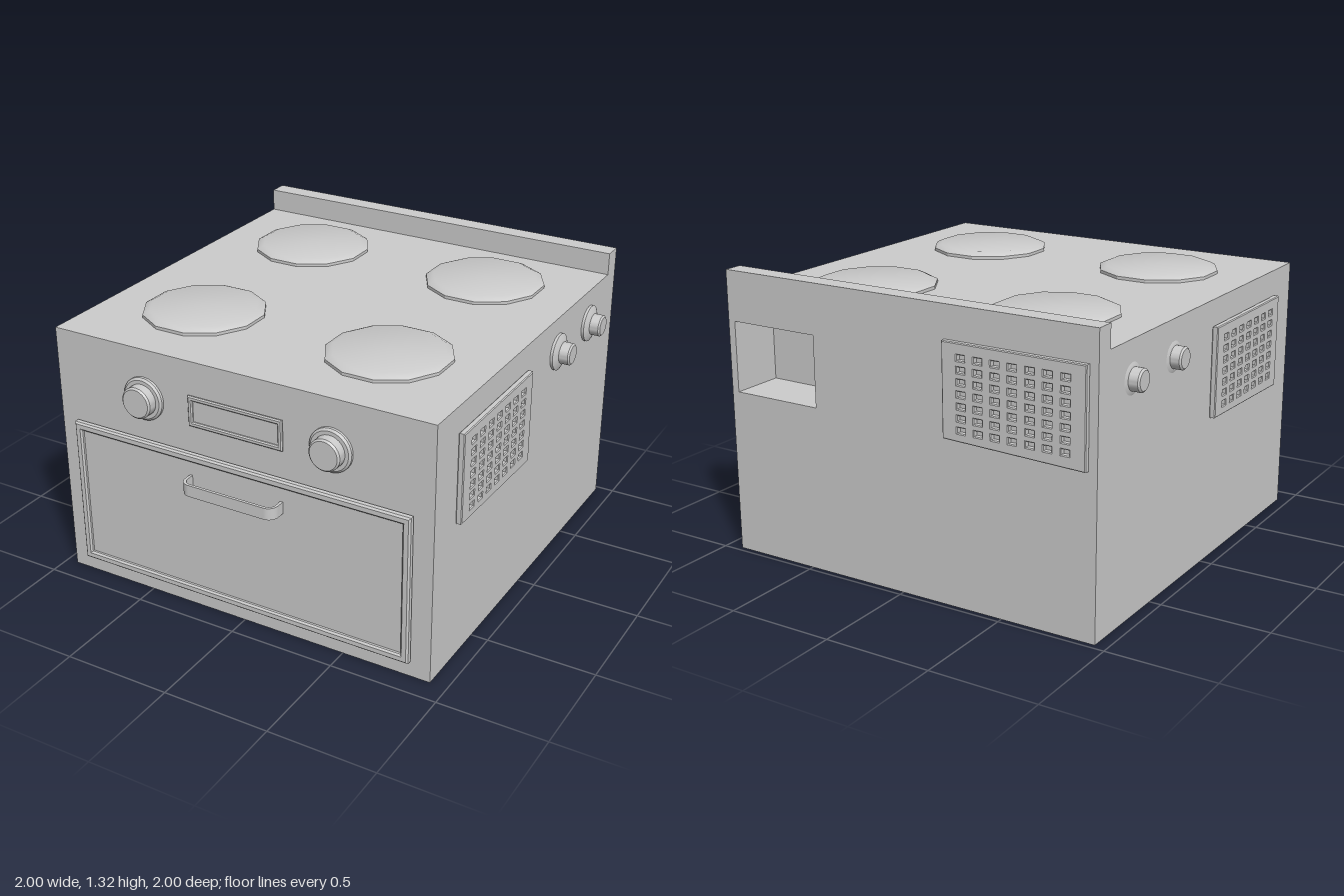
import * as THREE from 'three';
import { toCreasedNormals } from 'three/addons/utils/BufferGeometryUtils.js';

const X0 = -0.945, X1 = 0.92, Z0 = -0.975, Z1 = 0.895, TOP = 1.21;
const CX = (X0 + X1) / 2, W = X1 - X0;
const material = new THREE.MeshStandardMaterial({ color: 0xcccccc });

function add(parent, name, geometry, x = 0, y = 0, z = 0) {
  const mesh = new THREE.Mesh(geometry, material);
  mesh.name = name;
  mesh.position.set(x, y, z);
  parent.add(mesh);
  return mesh;
}

// Box given by its minimum and maximum corners
function box(parent, name, x0, y0, z0, x1, y1, z1) {
  return add(parent, name, new THREE.BoxGeometry(x1 - x0, y1 - y0, z1 - z0),
    (x0 + x1) / 2, (y0 + y1) / 2, (z0 + z1) / 2);
}

function rectPath(Type, x0, y0, x1, y1) {
  return new Type([[x0, y0], [x1, y0], [x1, y1], [x0, y1]].map(p => new THREE.Vector2(...p)));
}

// Extrusion whose back lies on z = 0, with edges chamfered inside the outline
function chamfered(shape, depth, bevel) {
  const g = new THREE.ExtrudeGeometry(shape, {
    depth: depth - 2 * bevel, bevelThickness: bevel, bevelSize: bevel,
    bevelOffset: -bevel, bevelSegments: 1
  });
  return g.translate(0, 0, bevel);
}

// Turned part from [radius, height] points, its axis along +z
function turned(points, segments) {
  const g = new THREE.LatheGeometry(points.map(p => new THREE.Vector2(...p)), segments, Math.PI / segments);
  return toCreasedNormals(g.rotateX(Math.PI / 2), 0.5);
}

// Raised frame around a sunken panel
function framedPanel(parent, name, x0, y0, x1, y1, rim, depth, panelDepth) {
  const group = new THREE.Group();
  group.name = name;
  const frame = rectPath(THREE.Shape, x0, y0, x1, y1);
  frame.holes.push(rectPath(THREE.Path, x0 + rim, y0 + rim, x1 - rim, y1 - rim));
  add(group, name + 'Frame', chamfered(frame, depth, Math.min(0.008, depth / 3)), 0, 0, Z1);
  box(group, name + 'Panel', x0 + rim / 2, y0 + rim / 2, Z1 - 0.01, x1 - rim / 2, y1 - rim / 2, Z1 + panelDepth);
  parent.add(group);
}

// Vent plate with a 7 x 7 grid of slots, facing +z
function ventGeometry() {
  const plate = new THREE.Shape([[-0.335, -0.2], [0.335, -0.22], [0.335, 0.215], [-0.335, 0.215]]
    .map(p => new THREE.Vector2(...p)));
  for (let i = 0; i < 7; i++) {
    for (let j = 0; j < 7; j++) {
      const x = (i - 3) * 0.081, y = (j - 3) * 0.051;
      plate.holes.push(rectPath(THREE.Path, x - 0.019, y - 0.012, x + 0.019, y + 0.012));
    }
  }
  return chamfered(plate, 0.028, 0.004);
}

export function createModel() {
  const model = new THREE.Group();
  model.name = 'stove';

  // Body: solid front block and a rear slab with a pocket opening at the back
  const pocketZ = Z0 + 0.25;
  box(model, 'body', X0, 0, pocketZ, X1, TOP, Z1);
  const rear = rectPath(THREE.Shape, X0, 0, X1, TOP);
  rear.holes.push(rectPath(THREE.Path, 0.445, 0.76, 0.885, 1.085));
  add(model, 'rearBody', new THREE.ExtrudeGeometry(rear, { depth: 0.25, bevelEnabled: false }), 0, 0, Z0);
  box(model, 'backLip', X0, TOP, Z0, X1, 1.315, -0.885);

  // Hotplates
  const plate = turned([[0.279, 0], [0.279, 0.014], [0.268, 0.02], [0.245, 0.03], [0, 0.03]], 12);
  plate.rotateX(-Math.PI / 2);
  for (const x of [-0.48, 0.455]) {
    for (const z of [-0.51, 0.425]) add(model, 'hotplate', plate, x, TOP, z);
  }

  // Oven door and control display
  framedPanel(model, 'door', -0.855, 0.08, 0.83, 0.785, 0.037, 0.036, 0.018);
  framedPanel(model, 'display', -0.245, 0.912, 0.222, 1.055, 0.022, 0.016, 0.004);

  // Door handle: flat U-shaped strap with rounded corners
  const hx = 0.235, h0 = 0.91, h1 = 0.995, r = 0.045, t = 0.013;
  const strap = new THREE.Shape();
  strap.moveTo(-hx, h0);
  strap.lineTo(-hx, h1 - r);
  strap.absarc(-hx + r, h1 - r, r, Math.PI, Math.PI / 2, true);
  strap.absarc(hx - r, h1 - r, r, Math.PI / 2, 0, true);
  strap.lineTo(hx, h0);
  strap.lineTo(hx - t, h0);
  strap.lineTo(hx - t, h1 - r);
  strap.absarc(hx - r, h1 - r, r - t, 0, Math.PI / 2, false);
  strap.absarc(-hx + r, h1 - r, r - t, Math.PI / 2, Math.PI, false);
  strap.lineTo(-hx + t, h0);
  const handle = new THREE.ExtrudeGeometry(strap, { depth: 0.055, bevelEnabled: false, curveSegments: 8 });
  add(model, 'doorHandle', handle.rotateX(Math.PI / 2), -0.012, 0.677, 0);

  // Front knobs
  const frontKnob = turned([[0.1, 0], [0.1, 0.012], [0.09, 0.02], [0.073, 0.02],
    [0.073, 0.06], [0.065, 0.068], [0, 0.068]], 32);
  for (const x of [-0.48, 0.45]) add(model, 'frontKnob', frontKnob, x, 0.98, Z1);

  // Side knobs, the ones on the right side set slightly deeper
  const sideKnob = turned([[0.085, 0], [0.085, 0.012], [0.06, 0.024], [0.05, 0.026],
    [0.05, 0.068], [0.042, 0.075], [0, 0.075]], 32);
  for (const z of [-0.3, -0.665]) {
    add(model, 'leftKnob', sideKnob, X1, 1.045, z).rotation.y = Math.PI / 2;
    add(model, 'rightKnob', sideKnob, X0 + 0.02, 1.045, z - 0.035).rotation.y = -Math.PI / 2;
  }

  // Vents on both sides and the back
  const vent = ventGeometry();
  add(model, 'leftVent', vent, X1, 0.875, 0.37).rotation.y = Math.PI / 2;
  add(model, 'rightVent', vent, X0, 0.875, 0.37).rotation.y = -Math.PI / 2;
  add(model, 'backVent', vent, -0.572, 0.955, Z0).rotation.y = Math.PI;

  return model;
}
